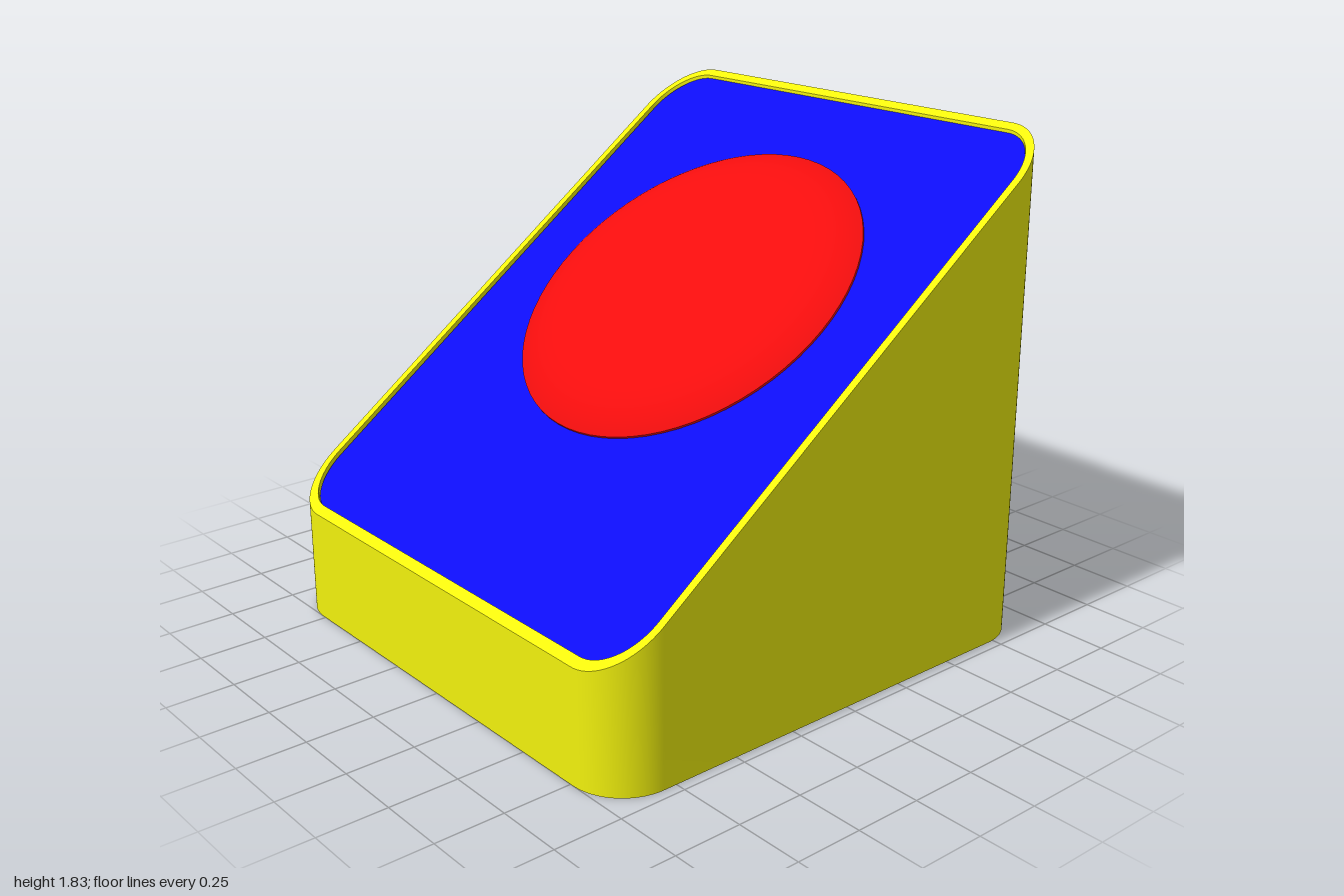
import * as THREE from 'three';
import { toCreasedNormals } from 'three/addons/utils/BufferGeometryUtils.js';

const SLOPE = 0.7377;
const slopeY = (z) => 1.148 - SLOPE * z;

const paint = (color) => new THREE.MeshStandardMaterial({ color });

function add(parent, name, geometry, material) {
  const mesh = new THREE.Mesh(geometry, material);
  mesh.name = name;
  parent.add(mesh);
  return mesh;
}

// Rounded rectangle on the ground plan; shape y is -z
function roundedRect(x0, x1, z0, z1, r, Type = THREE.Shape) {
  const s = new Type();
  s.absarc(x1 - r, -z0 - r, r, 0, Math.PI / 2);
  s.absarc(x0 + r, -z0 - r, r, Math.PI / 2, Math.PI);
  s.absarc(x0 + r, -z1 + r, r, Math.PI, Math.PI * 1.5);
  s.absarc(x1 - r, -z1 + r, r, Math.PI * 1.5, Math.PI * 2);
  s.closePath();
  return s;
}

// Extrude a ground plan upward between two height functions of z
function prism(shape, bottom, top) {
  const g = new THREE.ExtrudeGeometry(shape, { depth: 1, bevelEnabled: false, curveSegments: 12 });
  g.rotateX(-Math.PI / 2);
  const p = g.attributes.position;
  for (let i = 0; i < p.count; i++) {
    p.setY(i, p.getY(i) > 0.5 ? top(p.getZ(i)) : bottom(p.getZ(i)));
  }
  return toCreasedNormals(g, 0.5);
}

export function createModel() {
  const model = new THREE.Group();
  model.name = 'wedgeButtonBox';
  const yellow = paint(0xf2f20d);
  const blue = paint(0x0d0df2);
  const red = paint(0xf20d0d);
  const green = paint(0x0df20d);

  // Hollow wedge housing with a closed floor
  const walls = roundedRect(-0.962, 0.962, -0.927, 1, 0.2);
  walls.holes.push(roundedRect(-0.932, 0.932, -0.9, 0.967, 0.17, THREE.Path));
  add(model, 'housing', prism(walls, () => 0, slopeY), yellow);
  add(model, 'floor', prism(roundedRect(-0.932, 0.932, -0.9, 0.967, 0.17), () => 0, () => 0.04), yellow);

  // Sloping panel, set slightly below the rim
  add(model, 'panel',
    prism(roundedRect(-0.92, 0.93, -0.898, 0.964, 0.165), (z) => slopeY(z) - 0.05, (z) => slopeY(z) - 0.01), blue);

  // Round push button: flat top with a curved edge, square to the panel
  const edge = new THREE.QuadraticBezierCurve(
    new THREE.Vector2(0.675, 0), new THREE.Vector2(0.614, 0.04), new THREE.Vector2(0.52, 0.053));
  const button = new THREE.Group();
  button.name = 'button';
  const skirt = [new THREE.Vector2(0.675, -0.02), ...edge.getPoints(8)];
  add(button, 'buttonEdge', toCreasedNormals(new THREE.LatheGeometry(skirt, 72), 0.6), red);
  const face = new THREE.CircleGeometry(0.52, 72);
  face.rotateX(-Math.PI / 2).translate(0, 0.053, 0);
  add(button, 'buttonFace', face, red);
  button.position.set(0.005, slopeY(-0.11), -0.11);
  button.rotation.x = Math.atan(SLOPE);
  model.add(button);

  // Tapered screw cap on the back with a horizontal slot
  const cap = new THREE.Group();
  cap.name = 'backCap';
  const disc = new THREE.Shape().absarc(0, 0, 0.222, 0, Math.PI * 2);
  const slot = new THREE.Path();
  slot.moveTo(-0.13, -0.035).lineTo(-0.13, 0.035).lineTo(0.13, 0.035).lineTo(0.13, -0.035).closePath();
  disc.holes.push(slot);
  const capGeometry = new THREE.ExtrudeGeometry(disc, { depth: 0.073, bevelEnabled: false, curveSegments: 24 });
  const p = capGeometry.attributes.position;
  for (let i = 0; i < p.count; i++) {
    if (p.getZ(i) > 0.05 && Math.hypot(p.getX(i), p.getY(i)) > 0.2) {
      p.setXY(i, p.getX(i) * 0.845, p.getY(i) * 0.845);
    }
  }
  add(cap, 'capBody', toCreasedNormals(capGeometry, 0.5), green);
  add(cap, 'slotFloor', new THREE.BoxGeometry(0.28, 0.09, 0.01), green).position.z = 0.008;
  cap.position.set(0, 0.367, -0.927);
  cap.rotation.y = Math.PI;
  model.add(cap);

  return model;
}
